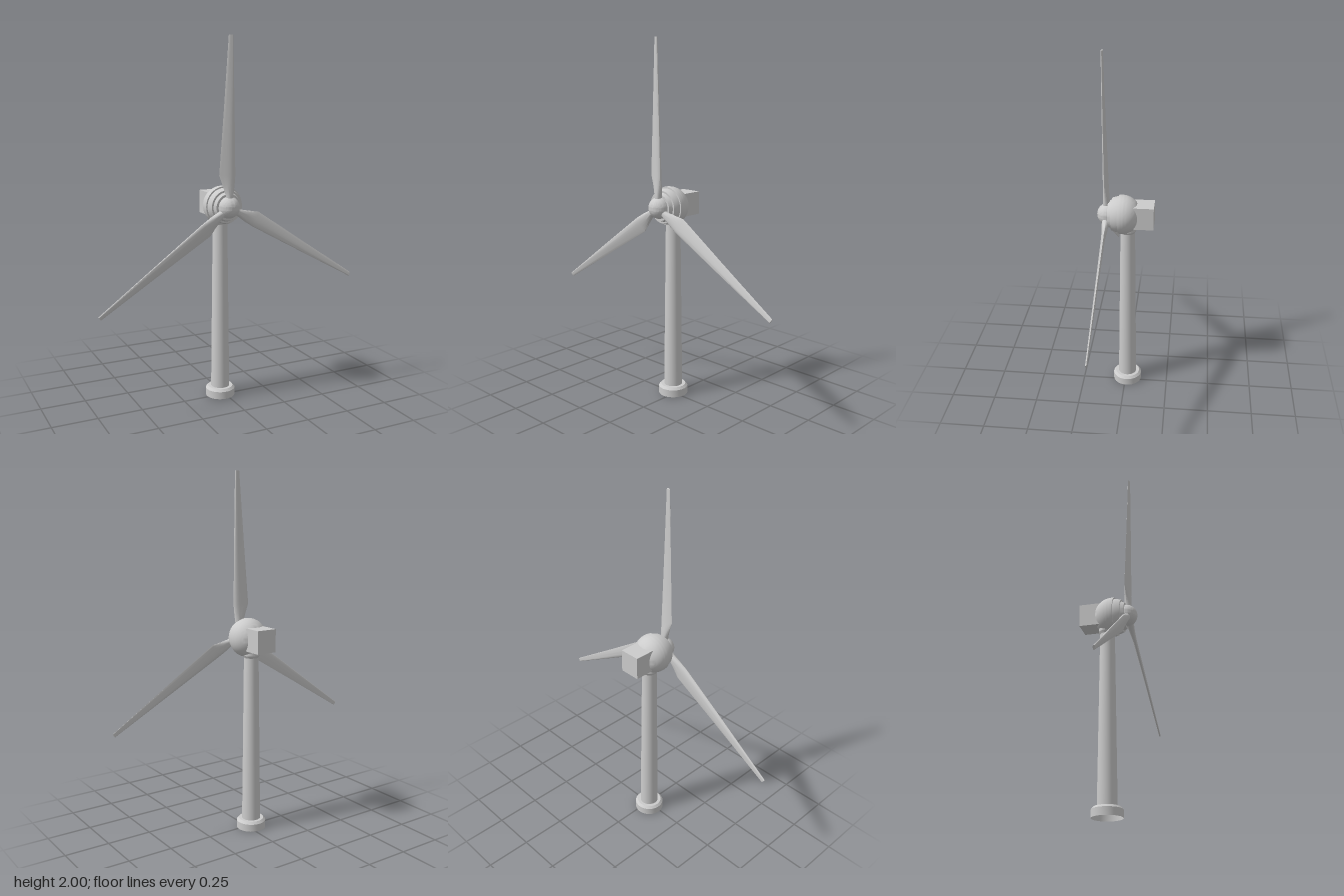
import * as THREE from 'three';
import { toCreasedNormals } from 'three/addons/utils/BufferGeometryUtils.js';

const material = new THREE.MeshStandardMaterial({ color: 0xcccccc, side: THREE.DoubleSide });
const HUB = { x: -0.022, y: 1.103 };

function part(name, geometry, x = 0, y = 0, z = 0) {
  const mesh = new THREE.Mesh(geometry, material);
  mesh.name = name;
  mesh.position.set(x, y, z);
  return mesh;
}

// Turned part with sharp steps kept; points are [radius, height]
function lathe(points, segments = 48) {
  const profile = points.map(([r, h]) => new THREE.Vector2(r, h));
  return toCreasedNormals(new THREE.LatheGeometry(profile, segments), 0.45);
}

// Quarter ellipse from (r0) to (r1) angles, as [radius, height] points
function arc(radius, depth, centre, from, to, steps = 14) {
  return Array.from({ length: steps + 1 }, (_, i) => {
    const a = from + ((to - from) * i) / steps;
    return [Math.max(0, radius * Math.cos(a)), centre + depth * Math.sin(a)];
  });
}

// Blade lofted upward from a round root through a wide shoulder to a thin tip
function bladeGeometry() {
  // distance from hub, leading x, trailing x, centre z, half thickness, tilt, sharpness of trailing edge
  const sections = [
    [0.03, 0.02, -0.02, 0.105, 0.02, 0, 0],
    [0.065, 0.02, -0.02, 0.105, 0.02, 0, 0],
    [0.12, 0.027, -0.039, 0.105, 0.018, 0.004, 0.4],
    [0.175, 0.03, -0.058, 0.106, 0.016, 0.007, 0.8],
    [0.5, 0.023, -0.036, 0.112, 0.011, 0.005, 0.8],
    [0.898, 0.013, -0.011, 0.118, 0.007, 0.002, 0.6],
  ];
  const N = 20;
  const positions = [];
  const index = [];
  for (const [y, lead, trail, zc, thick, tilt, sharp] of sections) {
    for (let i = 0; i < N; i++) {
      const a = (i / N) * Math.PI * 2;
      const c = Math.cos(a);
      const taper = 1 - sharp * (1 - c) * 0.5;
      positions.push((lead + trail) / 2 + ((lead - trail) / 2) * c, y, zc + tilt * c + thick * taper * Math.sin(a));
    }
  }
  for (let s = 0; s < sections.length - 1; s++) {
    for (let i = 0; i < N; i++) {
      const p = s * N + i;
      const q = s * N + ((i + 1) % N);
      index.push(p, p + N, q, q, p + N, q + N);
    }
  }
  // Flat tip
  const last = (sections.length - 1) * N;
  for (let i = 1; i < N - 1; i++) index.push(last, last + i + 1, last + i);
  const geometry = new THREE.BufferGeometry();
  geometry.setAttribute('position', new THREE.Float32BufferAttribute(positions, 3));
  geometry.setIndex(index);
  return toCreasedNormals(geometry, 0.6);
}

export function createModel() {
  const model = new THREE.Group();
  model.name = 'windTurbine';

  // Hollow foot, tapered tower and the collar under the nacelle
  const tx = -0.023;
  const tz = -0.012;
  model.add(part('foot', lathe([[0.082, 0], [0.082, 0.042], [0.07, 0.055], [0.052, 0.055]]), tx, 0, tz));
  model.add(part('tower', new THREE.CylinderGeometry(0.04, 0.052, 1.0, 48, 1, true), tx, 0.55, tz));
  model.add(part('towerCollar', lathe([[0.04, 0.995], [0.048, 1.01], [0.048, 1.04]]), tx, 0, tz));

  // Round nacelle with stepped rings at its front
  const nacelle = part('nacelle', lathe([
    ...arc(0.108, 0.105, 0.02, -Math.PI / 2, 0.17, 20),
    [0.099, 0.038], [0.097, 0.055], [0.09, 0.075],
    [0.08, 0.075], [0.072, 0.095], [0, 0.095],
  ]), HUB.x, HUB.y);
  nacelle.rotation.x = Math.PI / 2;
  model.add(nacelle);

  // Generator box at the back
  model.add(part('generatorBox', new THREE.BoxGeometry(0.118, 0.127, 0.15), HUB.x, 1.105, -0.082));

  // Rotor: rounded hub and three blades
  const rotor = new THREE.Group();
  rotor.name = 'rotor';
  rotor.position.set(HUB.x, HUB.y, 0);
  const hub = part('hub', lathe([[0.052, 0.075], ...arc(0.06, 0.06, 0.096, 0, Math.PI / 2)]));
  hub.rotation.x = Math.PI / 2;
  rotor.add(hub);
  const blade = bladeGeometry();
  [0, 125, -120].forEach((degrees, i) => {
    const mesh = part(`blade${i + 1}`, blade);
    mesh.rotation.z = THREE.MathUtils.degToRad(degrees);
    rotor.add(mesh);
  });
  model.add(rotor);

  return model;
}
